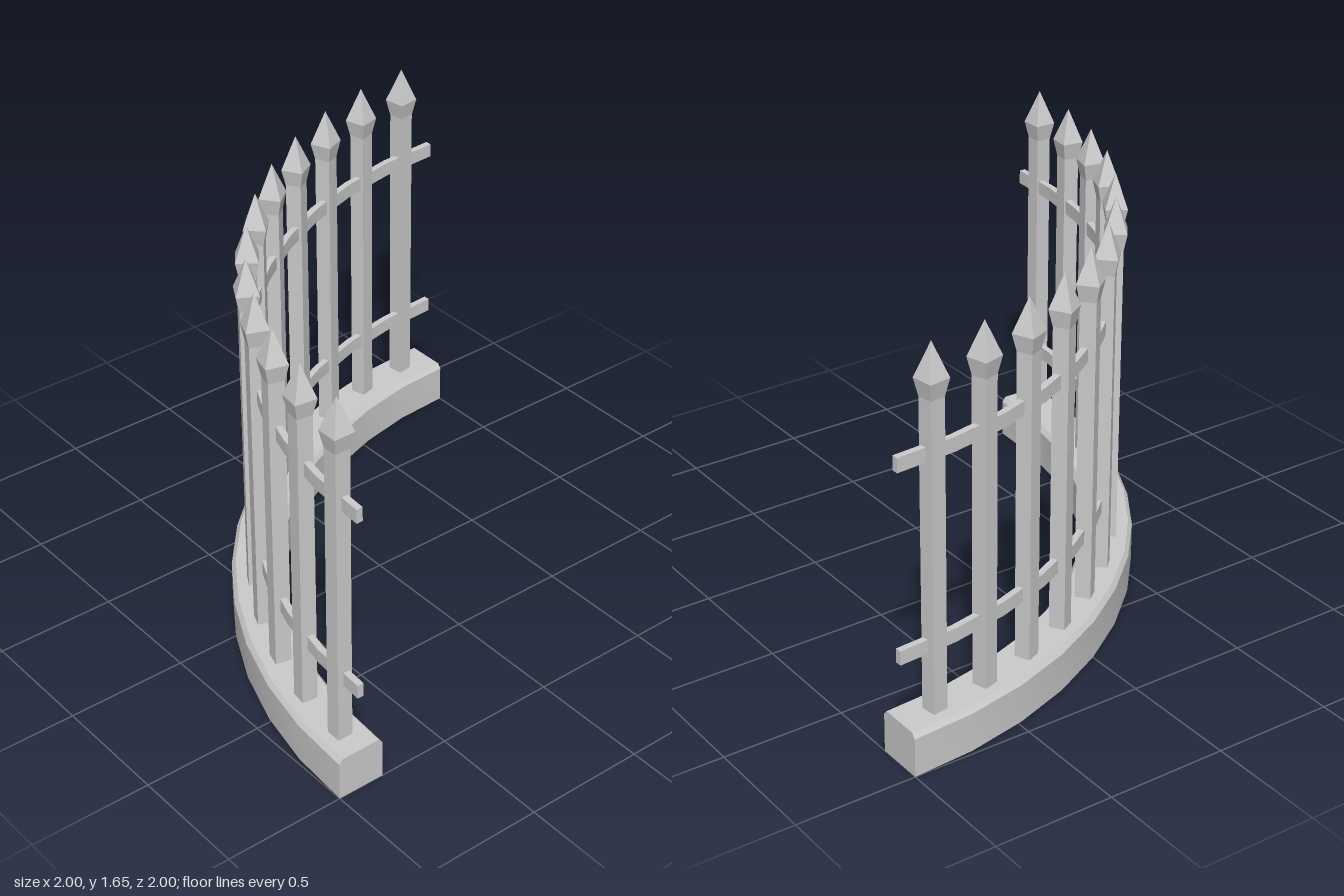
import * as THREE from 'three';
import { mergeGeometries, toCreasedNormals } from 'three/addons/utils/BufferGeometryUtils.js';

const SEGMENTS = 12;
const PICKETS = 12;
const RADIUS = 1.905; // picket ring, measured from the arc centre at (1, 1)

// Sweeps a counter-clockwise [radius, height] profile through a quarter circle and caps both ends.
function quarterArc(profile) {
  const ring = [...profile, profile[0]].map(([r, y]) => new THREE.Vector2(r, y));
  const sweep = new THREE.LatheGeometry(ring, SEGMENTS, Math.PI, Math.PI / 2);
  const capShape = (sign) => new THREE.ShapeGeometry(
    new THREE.Shape(profile.map(([r, y]) => new THREE.Vector2(sign * r, y))));
  const frontCap = capShape(-1);
  const sideCap = capShape(1).rotateY(Math.PI / 2);
  const merged = mergeGeometries([sweep, frontCap, sideCap]);
  return toCreasedNormals(merged.translate(1, 0, 1), 0.3);
}

// Square-section upright from [halfWidth, height] points.
function squareLathe(points) {
  const pts = points.map(([h, y]) => new THREE.Vector2(h * Math.SQRT2, y));
  return new THREE.LatheGeometry(pts, 4, Math.PI / 4);
}

export function createModel() {
  const model = new THREE.Group();
  model.name = 'curvedFence';
  const smooth = new THREE.MeshStandardMaterial({ color: 0xcccccc });
  const flat = new THREE.MeshStandardMaterial({ color: 0xcccccc, flatShading: true });

  const add = (parent, name, geometry, material) => {
    const mesh = new THREE.Mesh(geometry, material);
    mesh.name = name;
    parent.add(mesh);
  };

  // Curb with chamfered top edges
  add(model, 'base', quarterArc([
    [1.8, 0], [2, 0], [2, 0.16], [1.984, 0.18], [1.816, 0.18], [1.8, 0.16],
  ]), smooth);

  // Two horizontal rails
  for (const [name, y] of [['lowerRail', 0.425], ['upperRail', 1.195]]) {
    add(model, name, quarterArc([
      [1.887, y], [1.914, y], [1.914, y + 0.058], [1.887, y + 0.058],
    ]), smooth);
  }

  // Pickets, each turned along the curve
  const shaft = squareLathe([[0.032, 0.17], [0.032, 1.438]]);
  const spearhead = squareLathe([[0.032, 1.438], [0.045, 1.508], [0, 1.647]]);
  const step = THREE.MathUtils.degToRad(7.43);
  const start = THREE.MathUtils.degToRad(3.62);
  for (let i = 0; i < PICKETS; i++) {
    const angle = start + i * step;
    const picket = new THREE.Group();
    picket.name = `picket${i + 1}`;
    add(picket, 'shaft', shaft, flat);
    add(picket, 'spearhead', spearhead, flat);
    picket.position.set(1 - RADIUS * Math.cos(angle), 0, 1 - RADIUS * Math.sin(angle));
    picket.rotation.y = -i * step;
    model.add(picket);
  }
  return model;
}
